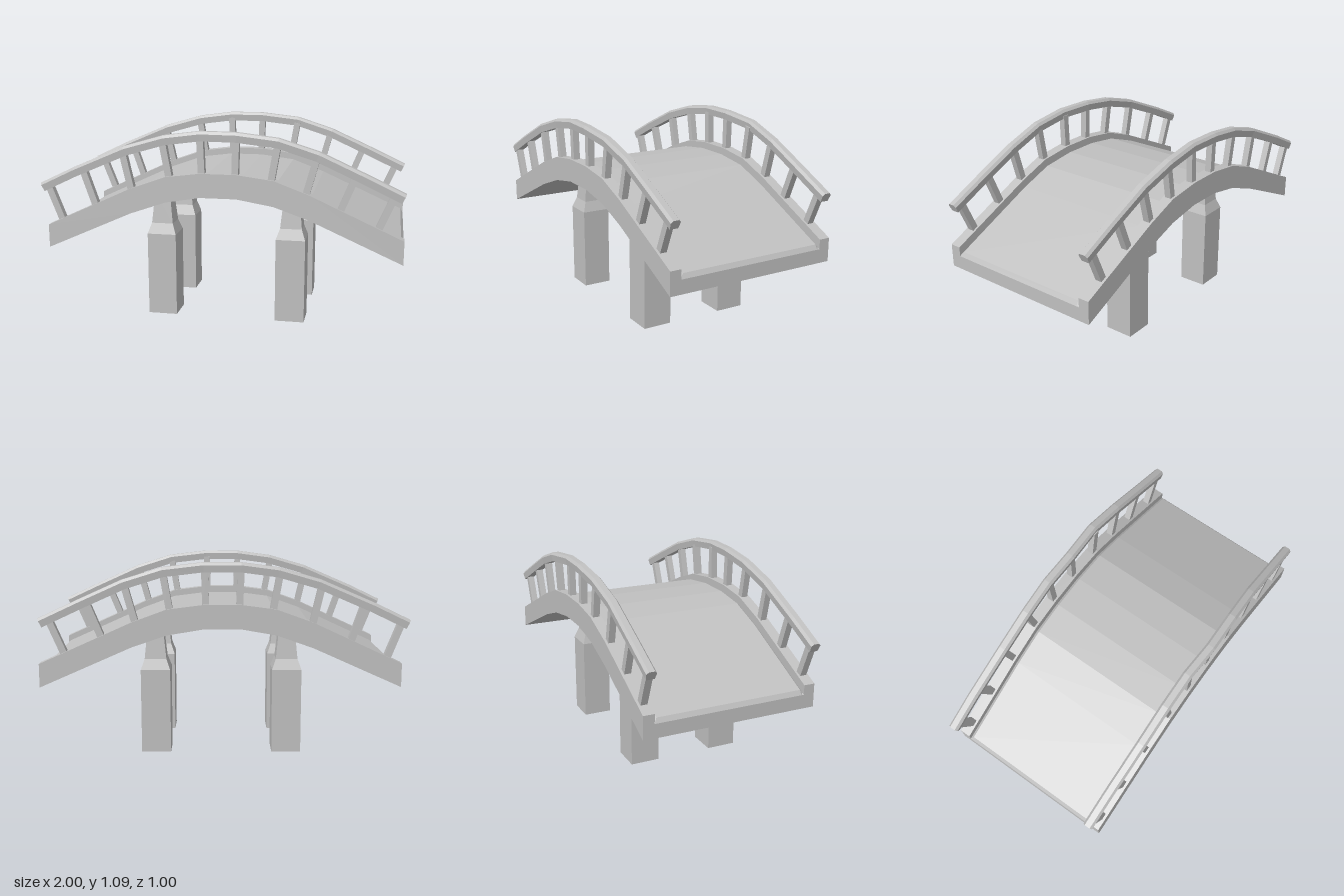
import * as THREE from 'three';

const stone = new THREE.MeshStandardMaterial({ color: 0xc0c0c0 });
stone.name = 'stone grey';

// Arched side profile: x, underside y, kerb top y
const arch = [
  [-0.96, 0.415, 0.545], [-0.48, 0.63, 0.768], [-0.28, 0.7, 0.84], [-0.09, 0.733, 0.865],
  [0.11, 0.733, 0.865], [0.31, 0.7, 0.84], [0.5, 0.635, 0.77], [1.0, 0.415, 0.545],
];

// Flat-shaded solid through matching rings of [x, y, z], running toward +x
function loft(rings) {
  const pos = [];
  const n = rings[0].length;
  const tri = (a, b, c) => pos.push(...a, ...b, ...c);
  for (let i = 0; i < rings.length - 1; i++) {
    const r = rings[i], s = rings[i + 1];
    for (let j = 0; j < n; j++) {
      const k = (j + 1) % n;
      tri(r[j], r[k], s[k]);
      tri(r[j], s[k], s[j]);
    }
  }
  const first = rings[0], last = rings[rings.length - 1];
  for (let j = 1; j < n - 1; j++) {
    tri(first[0], first[j + 1], first[j]);
    tri(last[0], last[j], last[j + 1]);
  }
  const g = new THREE.BufferGeometry();
  g.setAttribute('position', new THREE.Float32BufferAttribute(pos, 3));
  g.computeVertexNormals();
  return g;
}

function part(name, geometry, parent) {
  const m = new THREE.Mesh(geometry, stone);
  m.name = name;
  parent.add(m);
  return m;
}

function deckGeometry() {
  const drop = 0.035, bevel = 0.018, w = 0.43;
  const ring = (x, low, top, cut) => [
    [x, low, w], [x, low, -w], [x, top - bevel, -w],
    [x, top - cut, -w + bevel], [x, top - cut, w - bevel], [x, top - bevel, w],
  ];
  const rings = arch.map(([x, low, top], i) =>
    ring(x, low, top - drop, i === 0 || i === arch.length - 1 ? bevel : 0));
  // Full-height rings just inside both ends make the end bevels
  rings.splice(1, 0, ring(-0.945, 0.422, 0.552 - drop, 0));
  rings.splice(rings.length - 1, 0, ring(0.985, 0.422, 0.552 - drop, 0));
  return loft(rings);
}

function kerbGeometry(side) {
  const z0 = side > 0 ? 0.428 : -0.49, z1 = side > 0 ? 0.49 : -0.428;
  return loft(arch.map(([x, low, top]) => [[x, low, z1], [x, low, z0], [x, top, z0], [x, top, z1]]));
}

// Handrail centre line: x, y, sideways waver of the +z rail and of the -z rail
const railPath = [
  [-0.99, 0.757, 0.457, -0.46], [-0.8, 0.848, 0.457, -0.46], [-0.51, 0.973, 0.46, -0.455],
  [-0.29, 1.037, 0.457, -0.459], [-0.09, 1.064, 0.456, -0.465], [0.11, 1.064, 0.469, -0.46],
  [0.33, 1.039, 0.464, -0.471], [0.54, 0.973, 0.457, -0.463], [0.78, 0.865, 0.458, -0.46],
  [0.99, 0.767, 0.458, -0.46],
];
const railSection = [[0.023, -0.026], [-0.023, -0.026], [-0.028, 0.012], [-0.016, 0.026], [0.016, 0.026], [0.028, 0.012]];

function railGeometry(side) {
  return loft(railPath.map(([x, y, zl, zr], i) => {
    const a = railPath[Math.max(i - 1, 0)], b = railPath[Math.min(i + 1, railPath.length - 1)];
    const t = Math.atan2(b[1] - a[1], b[0] - a[0]);
    const z = side > 0 ? zl : zr;
    return railSection.map(([dz, h]) => [x - Math.sin(t) * h, y + Math.cos(t) * h, z + dz]);
  }));
}

// Leaning balusters: bottom x, y, top x, y
const posts = [
  [-0.89, 0.595, -0.95, 0.75], [-0.69, 0.68, -0.745, 0.84], [-0.48, 0.775, -0.515, 0.93],
  [-0.265, 0.845, -0.295, 1.01], [-0.083, 0.865, -0.09, 1.04], [0.1, 0.865, 0.105, 1.04],
  [0.297, 0.85, 0.325, 1.015], [0.485, 0.785, 0.53, 0.95], [0.67, 0.705, 0.735, 0.865],
  [0.87, 0.61, 0.94, 0.775],
];

// Square pillar with a sloping shoulder and a tapered neck
function pillarGeometry() {
  const profile = [[0, 0], [0.0825, 0], [0.0825, 0.475], [0.061, 0.535], [0.042, 0.72], [0, 0.72]]
    .map(([half, y]) => new THREE.Vector2(half * Math.SQRT2, y));
  const g = new THREE.LatheGeometry(profile, 4).rotateY(Math.PI / 4).toNonIndexed();
  g.computeVertexNormals();
  return g;
}

export function createModel() {
  const bridge = new THREE.Group();
  bridge.name = 'archedBridge';
  part('deck', deckGeometry(), bridge);

  for (const side of [1, -1]) {
    const label = side > 0 ? 'front' : 'back';
    part(label + 'Kerb', kerbGeometry(side), bridge);

    const railing = new THREE.Group();
    railing.name = label + 'Railing';
    bridge.add(railing);
    part('handrail', railGeometry(side), railing);
    for (const [x0, y0, x1, y1] of posts) {
      const length = Math.hypot(x1 - x0, y1 - y0) + 0.03;
      const post = part('baluster', new THREE.BoxGeometry(0.037, length, 0.037), railing);
      post.position.set((x0 + x1) / 2, (y0 + y1) / 2, side * 0.458);
      post.rotation.z = Math.atan2(x0 - x1, y1 - y0);
    }

    for (const x of [-0.352, 0.385]) {
      part('pillar', pillarGeometry(), bridge).position.set(x, 0, side * 0.242);
    }
  }
  return bridge;
}
